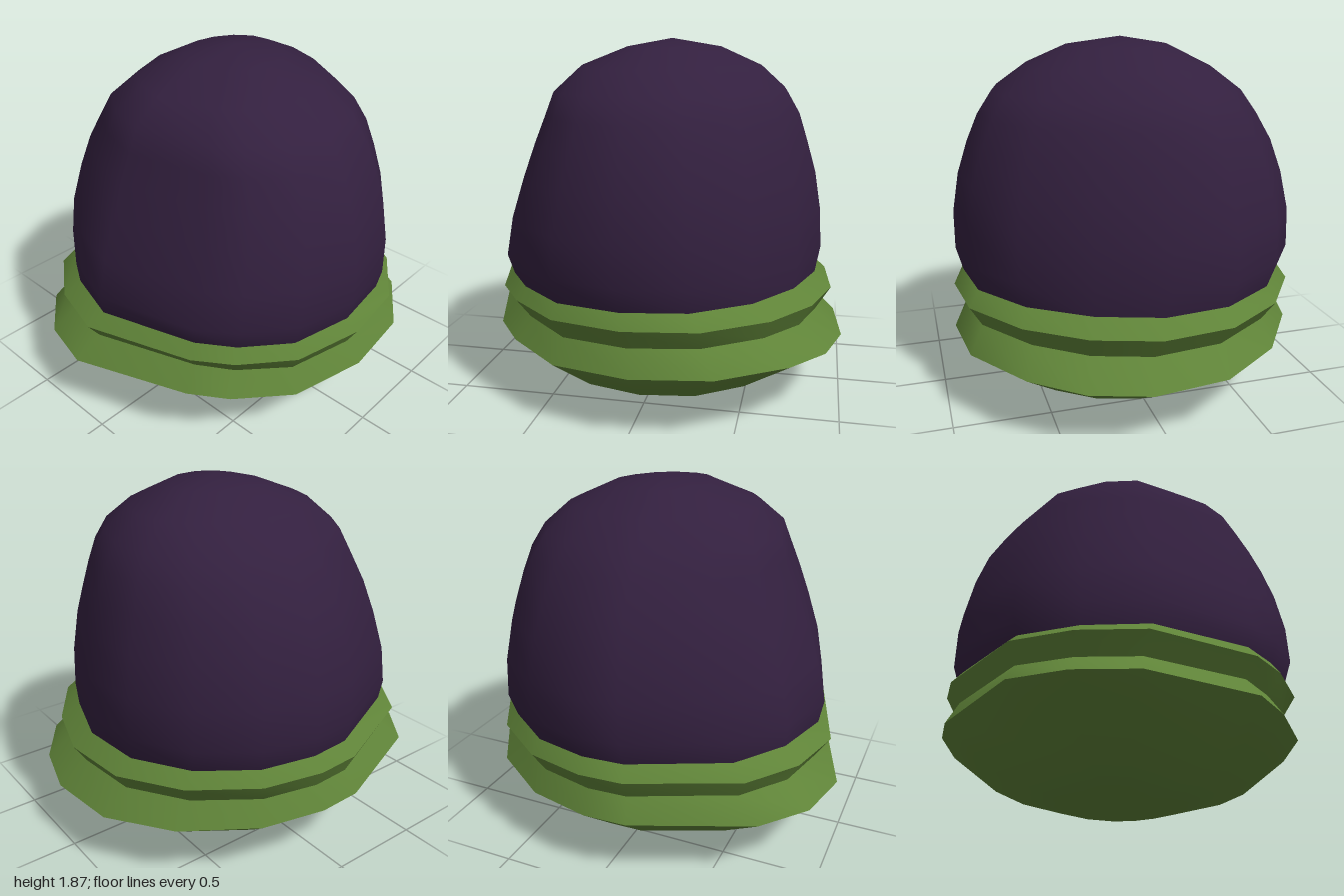
import * as THREE from 'three';
import { mergeVertices } from 'three/addons/utils/BufferGeometryUtils.js';

// Irregular hand-cut outlines [x, z], from the back round by the left side
const rimOutline = [
  [0.11, -1], [0.41, -0.92], [0.66, -0.75], [0.885, -0.42], [0.925, -0.02], [0.82, 0.38], [0.62, 0.65], [0.45, 0.79],
  [-0.16, 1], [-0.46, 0.93], [-0.7, 0.74], [-0.925, 0.15], [-0.93, -0.08], [-0.85, -0.41], [-0.61, -0.75], [-0.28, -0.96],
];
const domeOutline = [
  [-0.02, -0.87], [0.33, -0.76], [0.65, -0.56], [0.85, -0.28], [0.895, 0.05], [0.82, 0.38], [0.64, 0.61], [0.46, 0.74],
  [-0.06, 0.88], [-0.39, 0.78], [-0.67, 0.59], [-0.89, 0.11], [-0.905, -0.12], [-0.84, -0.41], [-0.65, -0.67], [-0.36, -0.84],
];
// Height of the wavy lower rim at each outline point
const rimHeights = [0.31, 0.32, 0.34, 0.345, 0.333, 0.322, 0.35, 0.375, 0.357, 0.352, 0.36, 0.345, 0.342, 0.338, 0.33, 0.315];

// A ring reaching the given extents; blend runs from dome outline (0) to rim outline (1)
function ring(y, right, left, back, front, blend = 0, wave = 0, cx = 0, cz = 0) {
  const pts = domeOutline.map((d, i) => [0, 1].map((k) => THREE.MathUtils.lerp(d[k], rimOutline[i][k], blend)));
  const xs = pts.map((p) => p[0]), zs = pts.map((p) => p[1]);
  const x0 = Math.min(...xs), x1 = Math.max(...xs), z0 = Math.min(...zs), z1 = Math.max(...zs);
  return pts.map(([x, z], i) => new THREE.Vector3(
    cx + (x < 0 ? (x / x0) * -right : (x / x1) * left),
    y + wave * (rimHeights[i] - 0.34),
    cz + (z < 0 ? (z / z0) * -back : (z / z1) * front),
  ));
}

// Smooth skin through rings listed from bottom to top
function loft(name, rings, material) {
  const n = rings[0].length, index = [];
  for (let r = 0; r < rings.length - 1; r++) {
    for (let i = 0; i < n; i++) {
      const a = r * n + i, b = r * n + ((i + 1) % n), c = a + n, d = b + n;
      index.push(a, c, d, a, d, b);
    }
  }
  let geometry = new THREE.BufferGeometry().setFromPoints(rings.flat());
  geometry.setIndex(index);
  geometry = mergeVertices(geometry, 1e-5);
  geometry.computeVertexNormals();
  const mesh = new THREE.Mesh(geometry, material);
  mesh.name = name;
  return mesh;
}

export function createModel() {
  const group = new THREE.Group();
  group.name = 'domedCap';
  const purple = new THREE.MeshStandardMaterial({ color: 0x33203f, side: THREE.DoubleSide });
  const green = new THREE.MeshStandardMaterial({ color: 0x5f8338, side: THREE.DoubleSide });

  // Shared edges of the leafy base
  const lowerRim = ring(0.34, 0.93, 0.925, 1, 1, 1, 1);
  const waist = ring(0.46, 0.87, 0.85, 0.86, 0.87, 0.7, 0.8);
  const upperRim = ring(0.565, 0.925, 0.915, 0.935, 0.94, 0.5, 0.5);
  const collarTop = ring(0.635, 0.87, 0.86, 0.845, 0.86, 0.2, 0.4);

  // Each band is its own skin so the edges between bands stay sharp
  group.add(
    loft('underside', [
      ring(0, 0, 0, 0, 0, 1, 0, -0.02, 0),
      ring(0.035, 0.36, 0.34, 0.37, 0.36, 1, 0.2),
      ring(0.135, 0.68, 0.67, 0.69, 0.69, 1, 0.5),
      lowerRim,
    ], green),
    loft('lowerLeafBand', [lowerRim, waist], green),
    loft('waistBand', [waist, upperRim], green),
    loft('collarBand', [upperRim, collarTop], green),
  );

  // Dome, leaning in more steeply on its front
  group.add(loft('dome', [
    collarTop,
    ring(0.755, 0.905, 0.895, 0.87, 0.88),
    ring(0.96, 0.9, 0.895, 0.86, 0.835),
    ring(1.17, 0.852, 0.86, 0.825, 0.76),
    ring(1.34, 0.79, 0.805, 0.775, 0.695),
    ring(1.48, 0.705, 0.745, 0.73, 0.637),
    ring(1.6, 0.62, 0.665, 0.66, 0.595),
    ring(1.72, 0.46, 0.495, 0.53, 0.46),
    ring(1.82, 0.26, 0.28, 0.31, 0.2),
    ring(1.865, 0, 0, 0, 0, 0, 0, 0, -0.05),
  ], purple));

  return group;
}
